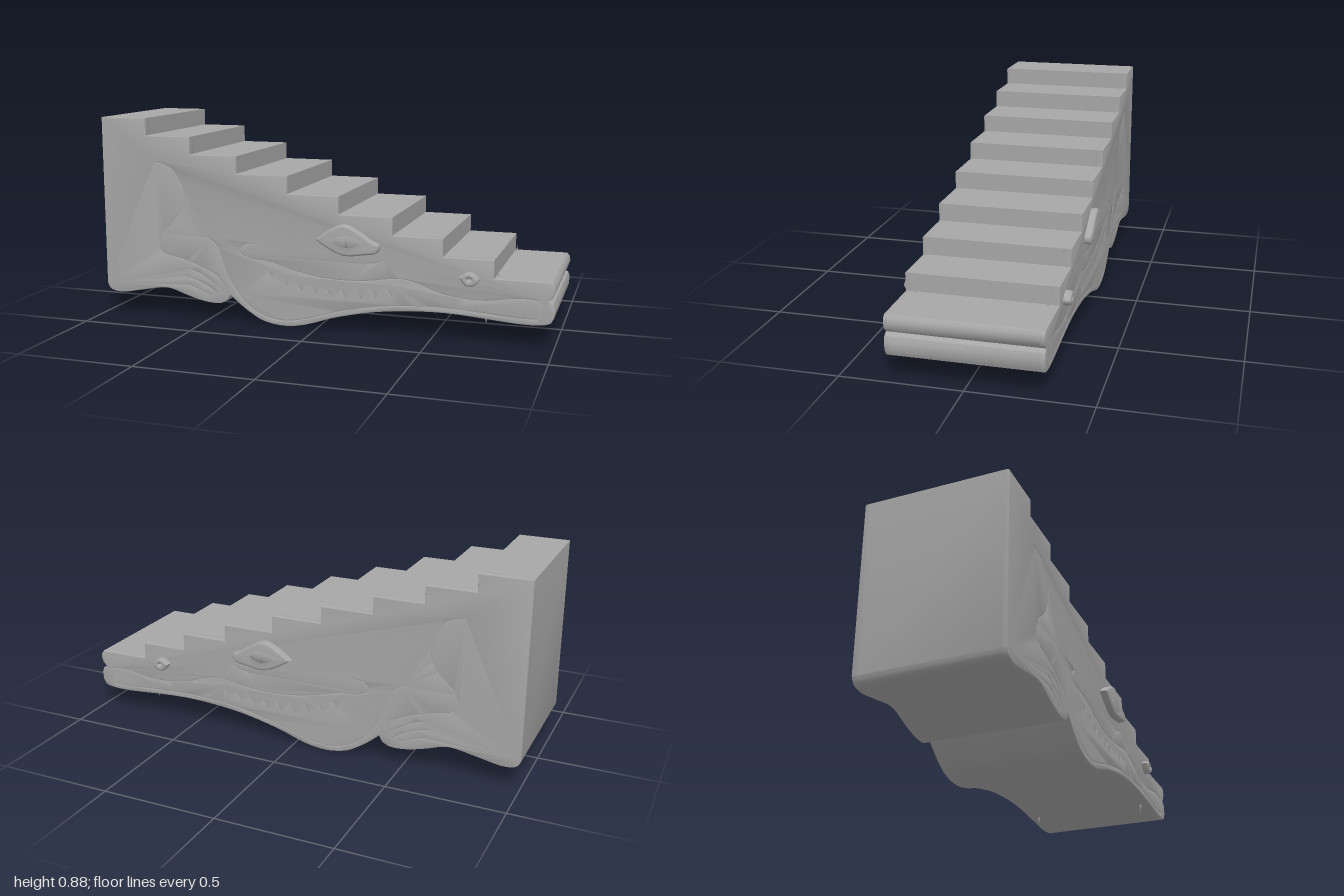
import * as THREE from 'three';
import { toCreasedNormals } from 'three/addons/utils/BufferGeometryUtils.js';

const HALF = 0.31; // half width of the staircase
const grey = new THREE.MeshStandardMaterial({ color: 0xa6a6a6 });
grey.name = 'plain grey';

const v = (pts) => pts.map(([x, y]) => new THREE.Vector2(x, y));
const spline = (pts, n) => new THREE.SplineCurve(v(pts)).getPoints(n);

// Narrow closed outline following a line, pointed at both ends
function ribbon(line, half = 0.002) {
  const left = [], right = [];
  for (let i = 1; i < line.length - 1; i++) {
    const t = line[i + 1].clone().sub(line[i - 1]).normalize();
    const n = new THREE.Vector2(-t.y, t.x).multiplyScalar(half);
    left.push(line[i].clone().add(n));
    right.unshift(line[i].clone().sub(n));
  }
  return new THREE.Path([line[0], ...left, line[line.length - 1], ...right]);
}

// Extrusion centred on z = 0 whose outline never grows beyond the shape
function slab(shape, thickness, bevel = 0, segments = 1) {
  const g = new THREE.ExtrudeGeometry(shape, {
    depth: thickness - 2 * bevel, bevelEnabled: bevel > 0, bevelSize: bevel,
    bevelThickness: bevel, bevelOffset: -bevel, bevelSegments: segments, curveSegments: 8,
  });
  g.translate(0, 0, -(thickness - 2 * bevel) / 2);
  return toCreasedNormals(g, 0.6);
}

// Side profile: steps, snout, jaw, belly and foot
function profile() {
  const edges = [-0.785, -0.575, -0.358, -0.127, 0.1, 0.333, 0.545, 0.755, 0.985];
  const pts = v([[-1, 0.88]]);
  edges.forEach((x, i) => {
    const y = 0.88 - i * 0.0758;
    if (i) pts.push(new THREE.Vector2(edges[i - 1], y));
    pts.push(new THREE.Vector2(x, y));
  });
  pts.push(...v([[0.997, 0.26], [1, 0.24], [0.992, 0.215], [0.974, 0.198], [0.992, 0.187], [1, 0.165], [0.997, 0.13]]));
  pts.push(...spline([[0.985, 0.107], [0.95, 0.097], [0.85, 0.095], [0.55, 0.115], [0.3, 0.1], [0.1, 0.06],
    [-0.05, 0.013], [-0.15, 0], [-0.24, 0.014], [-0.3, 0.045], [-0.35, 0.08], [-0.395, 0.118]], 55));
  pts.push(...spline([[-0.41, 0.092], [-0.45, 0.076], [-0.52, 0.08], [-0.6, 0.1], [-0.7, 0.128], [-0.82, 0.11],
    [-0.92, 0.092], [-0.98, 0.1], [-1, 0.13]], 36));
  return new THREE.Shape(pts);
}

// Lines carved into each side
function carvings() {
  const lip = spline([[-0.255, 0.355], [-0.32, 0.35], [-0.345, 0.315], [-0.3, 0.29], [-0.2, 0.278], [-0.08, 0.245],
    [0.05, 0.225], [0.2, 0.225], [0.35, 0.245], [0.43, 0.235], [0.55, 0.195], [0.7, 0.18], [0.85, 0.2], [0.95, 0.197]], 65);
  const lines = [
    lip,
    // jaw rim
    spline([[-0.51, 0.375], [-0.45, 0.33], [-0.41, 0.22], [-0.35, 0.125], [-0.3, 0.075], [-0.24, 0.042], [-0.15, 0.025],
      [-0.05, 0.04], [0.1, 0.085], [0.3, 0.124], [0.55, 0.138], [0.85, 0.12], [0.94, 0.123]], 60),
    // front leg
    spline([[-0.755, 0.695], [-0.66, 0.66], [-0.605, 0.555], [-0.64, 0.455], [-0.715, 0.375], [-0.72, 0.295],
      [-0.605, 0.262], [-0.47, 0.21], [-0.42, 0.15]], 48),
    // toes
    spline([[-0.61, 0.228], [-0.53, 0.203], [-0.46, 0.155]], 8),
    spline([[-0.63, 0.195], [-0.54, 0.17], [-0.44, 0.115]], 8),
    spline([[-0.61, 0.155], [-0.54, 0.133], [-0.49, 0.108]], 8),
    // cheek
    spline([[0.21, 0.3], [0.26, 0.305], [0.3, 0.325]], 8),
  ];
  // teeth hanging below the lip
  for (let i = 0; i < 9; i++) {
    const x = -0.2 + i * 0.066;
    const y = lip.find((p, k) => k > 15 && p.x >= x).y - 0.026;
    const tip = y - (i < 1 ? 0.04 : 0.052);
    lines.push(v([[x - 0.022, y], [x - 0.011, (y + tip) / 2], [x, tip], [x + 0.011, (y + tip) / 2], [x + 0.022, y]]));
  }
  return lines.map((l) => ribbon(l));
}

export function createModel() {
  const model = new THREE.Group();
  model.name = 'crocodileStaircase';
  const add = (name, geometry, x = 0, y = 0, z = 0) => {
    const mesh = new THREE.Mesh(geometry, grey);
    mesh.name = name;
    mesh.position.set(x, y, z);
    model.add(mesh);
    return mesh;
  };

  // Solid core between two carved side panels
  add('staircaseCore', slab(profile(), 2 * (HALF - 0.018)));
  const panelShape = profile();
  panelShape.holes.push(...carvings());
  const panel = slab(panelShape, 0.04, 0.006, 2);

  // Eyelid ring
  const lidShape = new THREE.Shape(spline([[0.005, 0.395], [0.06, 0.435], [0.13, 0.463], [0.2, 0.432], [0.25, 0.4],
    [0.28, 0.385], [0.272, 0.352], [0.22, 0.34], [0.13, 0.332], [0.06, 0.36], [0.005, 0.395]], 40).slice(0, -1));
  lidShape.holes.push(new THREE.Path(spline([[0.068, 0.393], [0.1, 0.416], [0.14, 0.426], [0.18, 0.412], [0.215, 0.384],
    [0.18, 0.365], [0.14, 0.358], [0.1, 0.369], [0.068, 0.393]], 32).slice(0, -1)));
  const lid = slab(lidShape, 0.06, 0.01, 3);

  // Nostril ring
  const nostrilShape = new THREE.Shape(spline([[0.615, 0.275], [0.655, 0.297], [0.698, 0.272], [0.68, 0.245],
    [0.645, 0.24], [0.615, 0.275]], 24).slice(0, -1));
  const hole = new THREE.Path();
  hole.absellipse(0.66, 0.269, 0.008, 0.005, 0, Math.PI * 2);
  nostrilShape.holes.push(hole);
  const nostril = slab(nostrilShape, 0.06, 0.011, 3);

  const ball = new THREE.SphereGeometry(1, 20, 14);
  const spike = new THREE.ConeGeometry(0.007, 0.04, 8);
  for (const [side, s] of [['left', 1], ['right', -1]]) {
    const face = s * HALF;
    add(side + 'SidePanel', panel, 0, 0, face - s * 0.02);
    add(side + 'Eyelid', lid, 0, 0, face);
    add(side + 'Eyeball', ball, 0.14, 0.39, face).scale.set(0.075, 0.036, 0.016);
    add(side + 'Pupil', ball, 0.14, 0.392, face).scale.set(0.009, 0.032, 0.022);
    add(side + 'Nostril', nostril, 0, 0, face);
    // Small fangs poking through the snout and jaw
    add(side + 'UpperFang', spike, 0.766, 0.282, s * 0.265);
    add(side + 'LowerFang', spike, 0.72, 0.092, s * 0.265).rotation.x = Math.PI;
  }
  return model;
}
